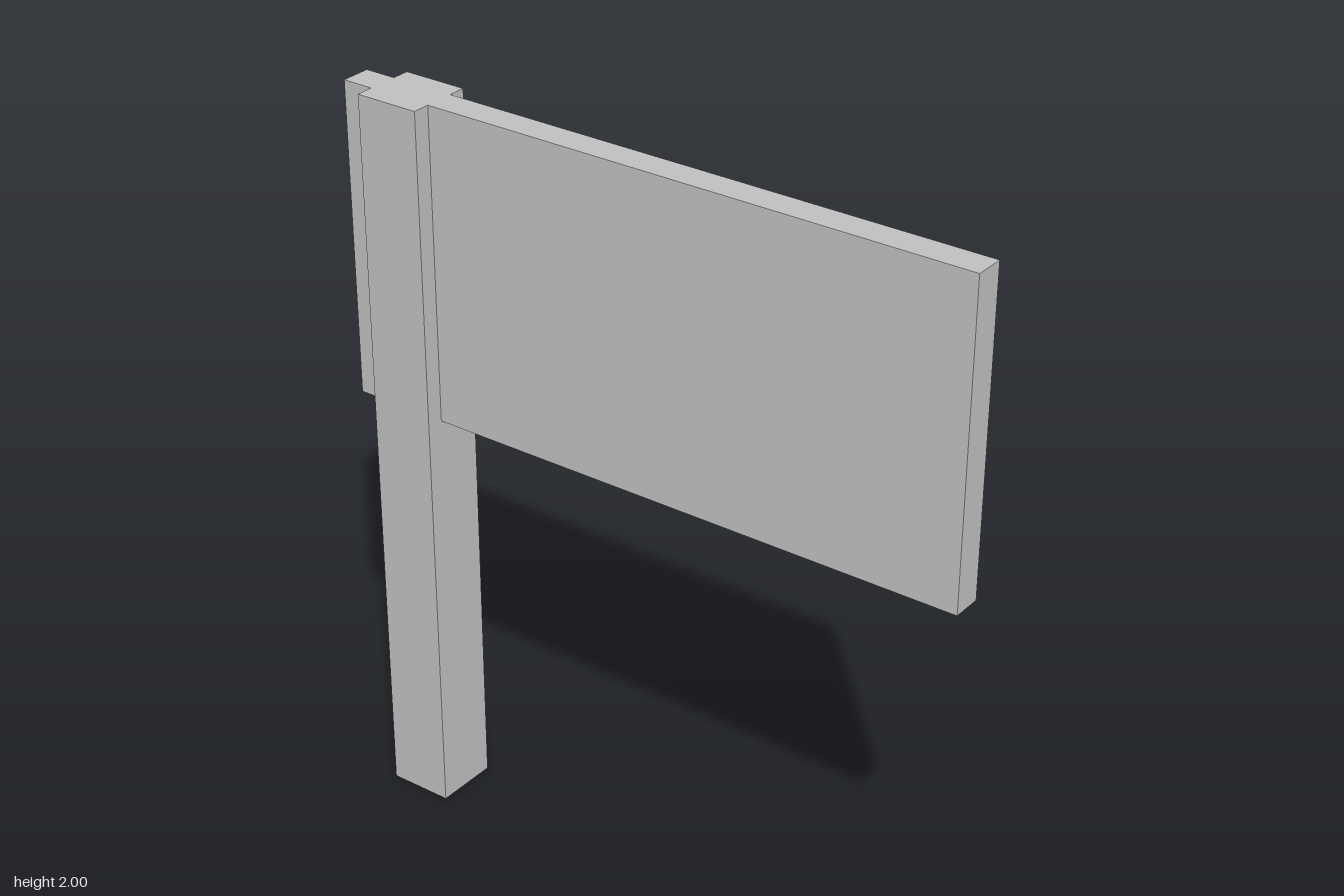
import * as THREE from 'three';

export function createModel() {
  const group = new THREE.Group();
  group.name = 'signpost';
  const grey = new THREE.MeshStandardMaterial({ color: 0xbfbfbf });
  grey.name = 'grey';

  // Box given by its size, centre x and bottom y, centred on z = 0
  const addBox = (name, width, height, depth, x, bottom) => {
    const mesh = new THREE.Mesh(new THREE.BoxGeometry(width, height, depth), grey);
    mesh.name = name;
    mesh.position.set(x, bottom + height / 2, 0);
    group.add(mesh);
  };

  // Square post, standing near the right end of the board
  addBox('post', 0.178, 2, 0.178, -0.716, 0);
  // Wide board passing through the post, flush with its top
  addBox('board', 1.784, 0.852, 0.082, 0, 1.148);

  return group;
}
